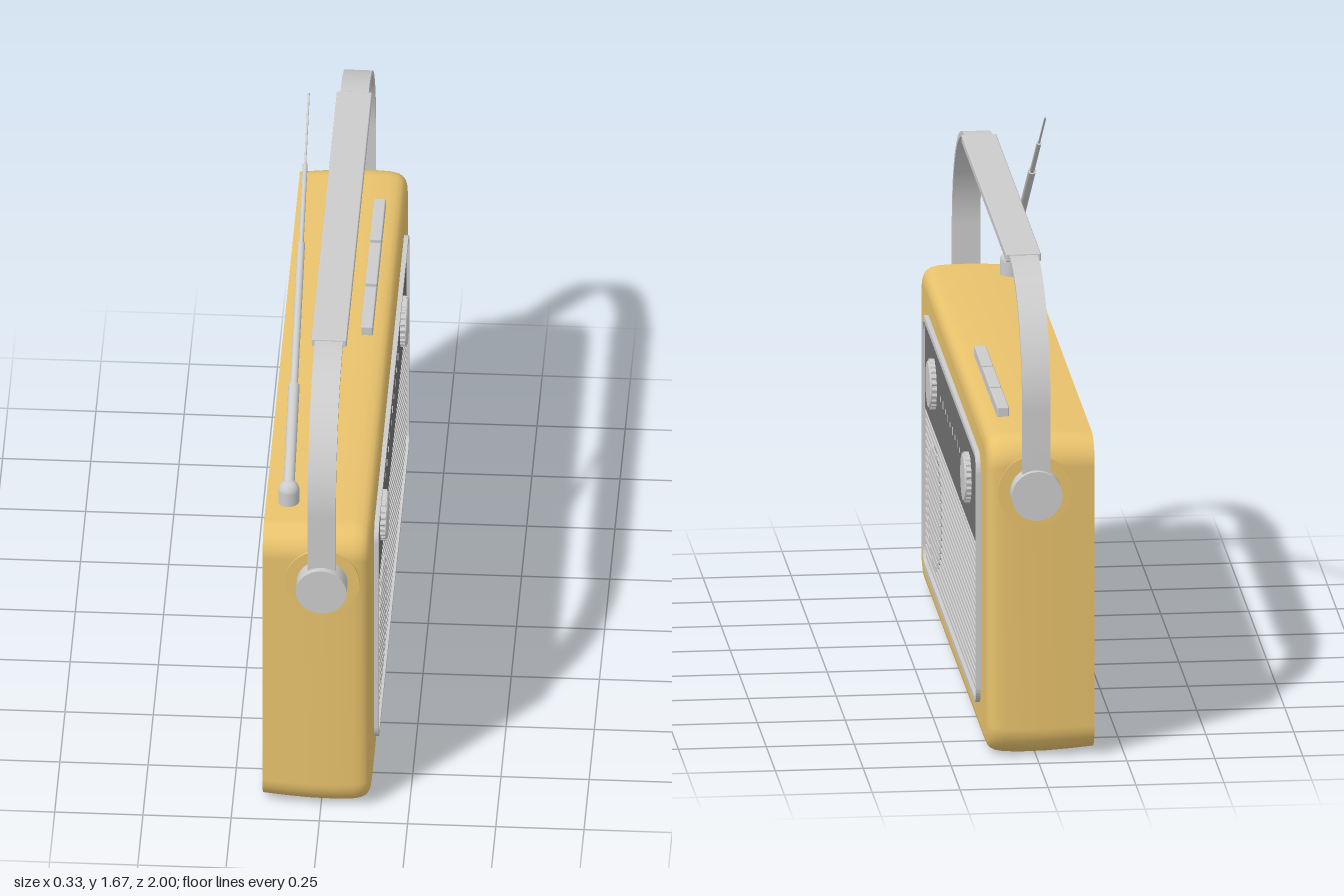
import * as THREE from 'three';
import { toCreasedNormals } from 'three/addons/utils/BufferGeometryUtils.js';
import { RoundedBoxGeometry } from 'three/addons/geometries/RoundedBoxGeometry.js';

const grey = new THREE.MeshStandardMaterial({ color: 0xcccccc });
const yellow = new THREE.MeshStandardMaterial({ color: 0xe8c26c, side: THREE.DoubleSide });
const dark = new THREE.MeshStandardMaterial({ color: 0x707070 });

// Rounded rectangle centred on (0, cy), with separate top and bottom radii
function roundedRect(w, h, cy, rTop, rBottom, Type = THREE.Shape) {
  const s = new Type(), x = w / 2, t = cy + h / 2, b = cy - h / 2;
  s.moveTo(x, b + rBottom);
  s.lineTo(x, t - rTop);
  if (rTop) s.absarc(x - rTop, t - rTop, rTop, 0, Math.PI / 2);
  else s.lineTo(x, t);
  s.lineTo(-x + rTop, t);
  if (rTop) s.absarc(-x + rTop, t - rTop, rTop, Math.PI / 2, Math.PI);
  s.lineTo(-x, b + rBottom);
  if (rBottom) s.absarc(-x + rBottom, b + rBottom, rBottom, Math.PI, Math.PI * 1.5);
  s.lineTo(x - rBottom, b);
  if (rBottom) s.absarc(x - rBottom, b + rBottom, rBottom, Math.PI * 1.5, Math.PI * 2);
  return s;
}

function extrude(shape, z0, z1, curveSegments = 12) {
  const g = new THREE.ExtrudeGeometry(shape, { depth: z1 - z0, bevelEnabled: false, curveSegments });
  return toCreasedNormals(g.translate(0, 0, z0), 0.6);
}

// Case: rounded-rectangle sections lofted from the flat back to the soft front edge
function caseGeometry() {
  const sections = [[-0.165, 0.01], [-0.1, 0.005], [-0.03, 0.001], [0.04, 0], [0.09, 0.002], [0.112, 0.006],
    [0.125, 0.012], [0.133, 0.02], [0.138, 0.031], [0.14, 0.045]];
  const steps = 10, n = 4 * (steps + 1), pos = [], idx = [];
  const addRing = ([z, inset]) => {
    const r = 0.085 - inset * 0.6;
    for (let c = 0; c < 4; c++) {
      const sx = c === 0 || c === 3 ? 1 : -1, sy = c < 2 ? 1 : -1;
      for (let i = 0; i <= steps; i++) {
        const a = (c + i / steps) * Math.PI / 2;
        pos.push(sx * (0.945 - inset - r) + r * Math.cos(a), 0.47 + sy * (0.47 - inset - r) + r * Math.sin(a), z);
      }
    }
  };
  sections.forEach(addRing);
  for (let k = 0; k < sections.length - 1; k++) {
    for (let i = 0; i < n; i++) {
      const a = k * n + i, b = k * n + (i + 1) % n;
      idx.push(a, b, b + n, a, b + n, a + n);
    }
  }
  // End caps as fans
  const cap = (section, front) => {
    const centre = pos.length / 3;
    pos.push(0, 0.47, section[0]);
    addRing(section);
    for (let i = 0; i < n; i++) {
      const a = centre + 1 + i, b = centre + 1 + (i + 1) % n;
      idx.push(centre, front ? a : b, front ? b : a);
    }
  };
  cap(sections[0], false);
  cap(sections[sections.length - 1], true);
  const g = new THREE.BufferGeometry();
  g.setAttribute('position', new THREE.Float32BufferAttribute(pos, 3));
  g.setIndex(idx);
  g.computeVertexNormals();
  return g;
}

export function createModel() {
  const model = new THREE.Group();
  const radio = new THREE.Group();
  radio.name = 'radio';
  radio.rotation.y = Math.PI / 2;
  model.add(radio);

  const add = (name, geometry, material = grey, x = 0, y = 0, z = 0, parent = radio) => {
    const mesh = new THREE.Mesh(geometry, material);
    mesh.name = name;
    mesh.position.set(x, y, z);
    parent.add(mesh);
    return mesh;
  };

  add('case', caseGeometry(), yellow);

  // Front panel: rim, dial strip and tuning marks
  const rim = roundedRect(1.5, 0.74, 0.47, 0.055, 0.055);
  rim.holes.push(roundedRect(1.468, 0.708, 0.47, 0.04, 0.04, THREE.Path));
  add('panelRim', extrude(rim, 0.13, 0.153));
  add('dialStrip', extrude(roundedRect(1.47, 0.265, 0.6925, 0.04, 0), 0.13, 0.146), dark);
  for (let i = 0; i < 10; i++) {
    const h = i % 2 ? 0.022 : 0.015;
    add('dialMark', new THREE.BoxGeometry(0.004, h, 0.003), grey, -0.297 + i * 0.066, 0.708, 0.1465);
  }

  // Grille slats, with a speaker disc carrying its own raised slats
  const speakerX = -0.472, speakerY = 0.338, speakerR = 0.175;
  const speaker = add('speakerDisc', new THREE.CylinderGeometry(speakerR, speakerR, 0.013, 64), dark, speakerX, speakerY, 0.1375);
  speaker.rotation.x = Math.PI / 2;
  for (let i = 0; i < 20; i++) {
    const y = 0.131 + i * 0.0218;
    add('grilleSlat', new THREE.BoxGeometry(i ? 1.466 : 1.43, 0.01, 0.012), grey, 0, y, 0.14);
    const half = Math.sqrt(Math.max(0, speakerR ** 2 - (y - speakerY) ** 2));
    if (half > 0.02) add('speakerSlat', new THREE.BoxGeometry(half * 2, 0.014, 0.012), grey, speakerX, y, 0.143);
  }

  // Knurled control knobs with a smooth face
  const knurl = new THREE.Shape();
  for (let i = 0; i < 96; i++) {
    const a = i / 96 * Math.PI * 2, r = i % 4 < 2 ? 0.073 : 0.069;
    knurl[i ? 'lineTo' : 'moveTo'](r * Math.cos(a), r * Math.sin(a));
  }
  const faceProfile = [[0.068, 0], [0.068, 0.003], [0.064, 0.006], [0, 0.006]].map(p => new THREE.Vector2(...p));
  const faceGeometry = toCreasedNormals(new THREE.LatheGeometry(faceProfile, 48), 0.5);
  for (const x of [-0.48, 0.485]) {
    const knob = new THREE.Group();
    knob.name = 'knob';
    knob.position.set(x, 0.7, 0);
    radio.add(knob);
    add('knobGrip', extrude(knurl, 0.14, 0.16), grey, 0, 0, 0, knob);
    add('knobFace', faceGeometry, grey, 0, 0, 0.159, knob).rotation.x = Math.PI / 2;
  }

  // Push buttons on the top
  for (let i = 0; i < 3; i++) {
    add('button', new RoundedBoxGeometry(0.204, 0.05, 0.034, 2, 0.004), grey, 0.167 + i * 0.219, 0.942, 0.072);
  }

  // Handle: bent strap, top grip and side pivots
  const strap = new THREE.Shape();
  strap.moveTo(0.982, 0.785);
  strap.lineTo(0.982, 1.027);
  strap.absarc(0.622, 1.027, 0.36, 0, Math.PI / 2);
  strap.absarc(-0.622, 1.027, 0.36, Math.PI / 2, Math.PI);
  strap.lineTo(-0.982, 0.785);
  strap.lineTo(-0.967, 0.785);
  strap.lineTo(-0.967, 1.027);
  strap.absarc(-0.622, 1.027, 0.345, Math.PI, Math.PI / 2, true);
  strap.absarc(0.622, 1.027, 0.345, Math.PI / 2, 0, true);
  strap.lineTo(0.967, 0.785);
  add('handleStrap', extrude(strap, -0.035, 0.045, 28));
  add('handleGrip', new RoundedBoxGeometry(1.24, 0.024, 0.1, 2, 0.004), grey, 0, 1.38, 0.005);
  for (const side of [-1, 1]) {
    add('pivotSeat', new THREE.CylinderGeometry(0.105, 0.105, 0.03, 64), yellow, side * 0.932, 0.785, 0.005).rotation.z = Math.PI / 2;
    add('handlePivot', new THREE.CylinderGeometry(0.072, 0.072, 0.07, 48), grey, side * 0.965, 0.785, 0.005).rotation.z = Math.PI / 2;
  }

  // Telescopic antenna on a domed base
  add('antennaBase', new THREE.CylinderGeometry(0.03, 0.03, 0.06, 32), grey, -0.768, 0.945, -0.1);
  add('antennaDome', new THREE.SphereGeometry(0.03, 32, 12, 0, Math.PI * 2, 0, Math.PI / 2), grey, -0.768, 0.975, -0.1);
  const start = new THREE.Vector3(-0.768, 0.985, -0.1), end = new THREE.Vector3(0.2, 1.67, -0.1);
  const direction = end.clone().sub(start), length = direction.length();
  const sections = [[0, 0.26, 0.016], [0.26, 0.62, 0.011], [0.62, 0.82, 0.007], [0.82, 1, 0.003]];
  for (const [a, b, r] of sections) {
    const rod = add('antennaSection', new THREE.CylinderGeometry(r, r, (b - a) * length, 20));
    rod.position.copy(start).addScaledVector(direction, (a + b) / 2);
    rod.quaternion.setFromUnitVectors(new THREE.Vector3(0, 1, 0), direction.clone().normalize());
  }
  return model;
}
